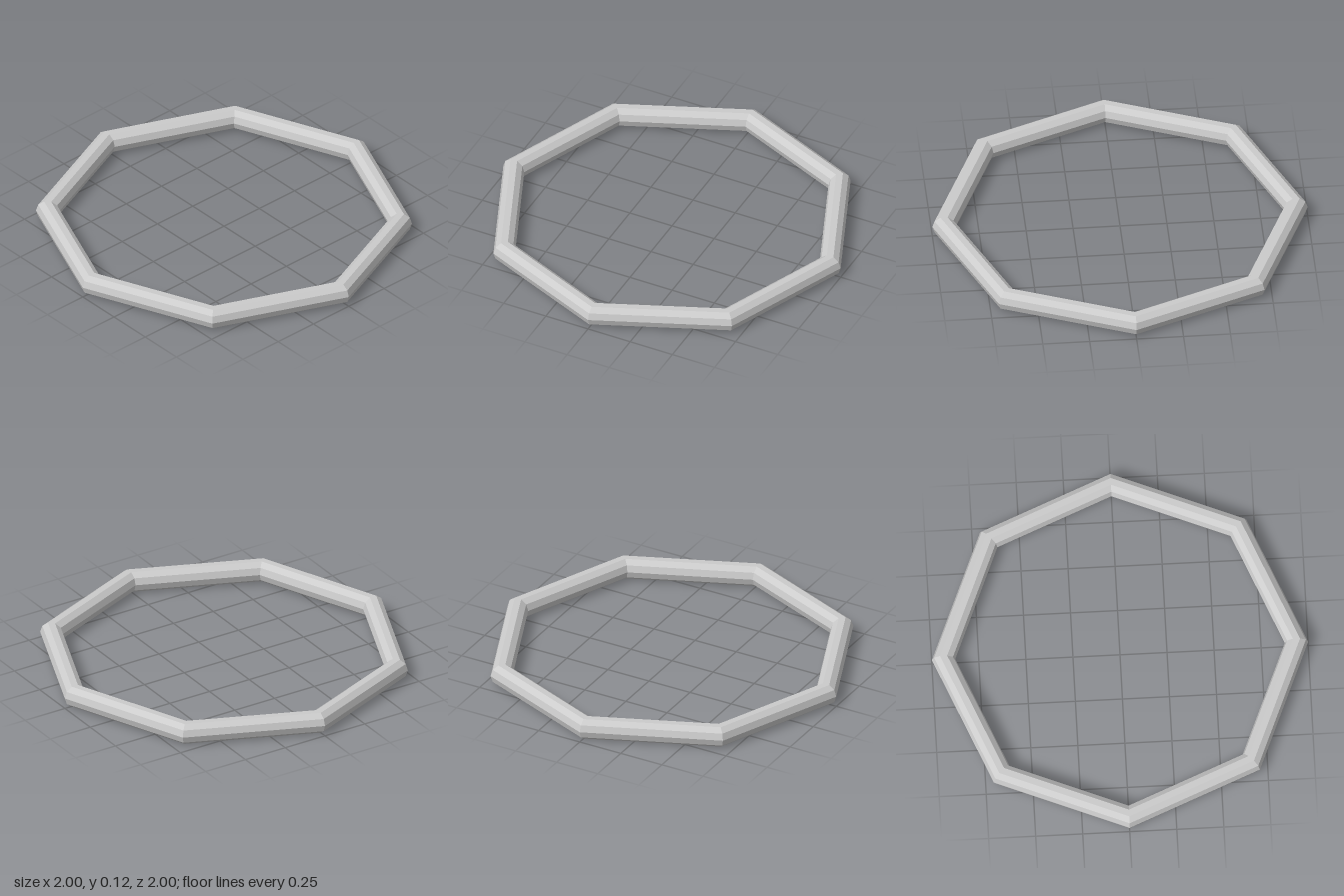
import * as THREE from 'three';

export function createModel() {
  const model = new THREE.Group();
  const tube = 0.0622;

  // Eight-sided ring with a ten-sided cross-section, lying flat
  const geometry = new THREE.TorusGeometry(1 - tube, tube, 10, 8);
  geometry.rotateX(-Math.PI / 2);
  geometry.computeBoundingBox();
  geometry.translate(0, -geometry.boundingBox.min.y, 0);

  const ring = new THREE.Mesh(
    geometry,
    new THREE.MeshStandardMaterial({ color: 0xcccccc, flatShading: true })
  );
  ring.name = 'ring';
  model.add(ring);
  return model;
}
